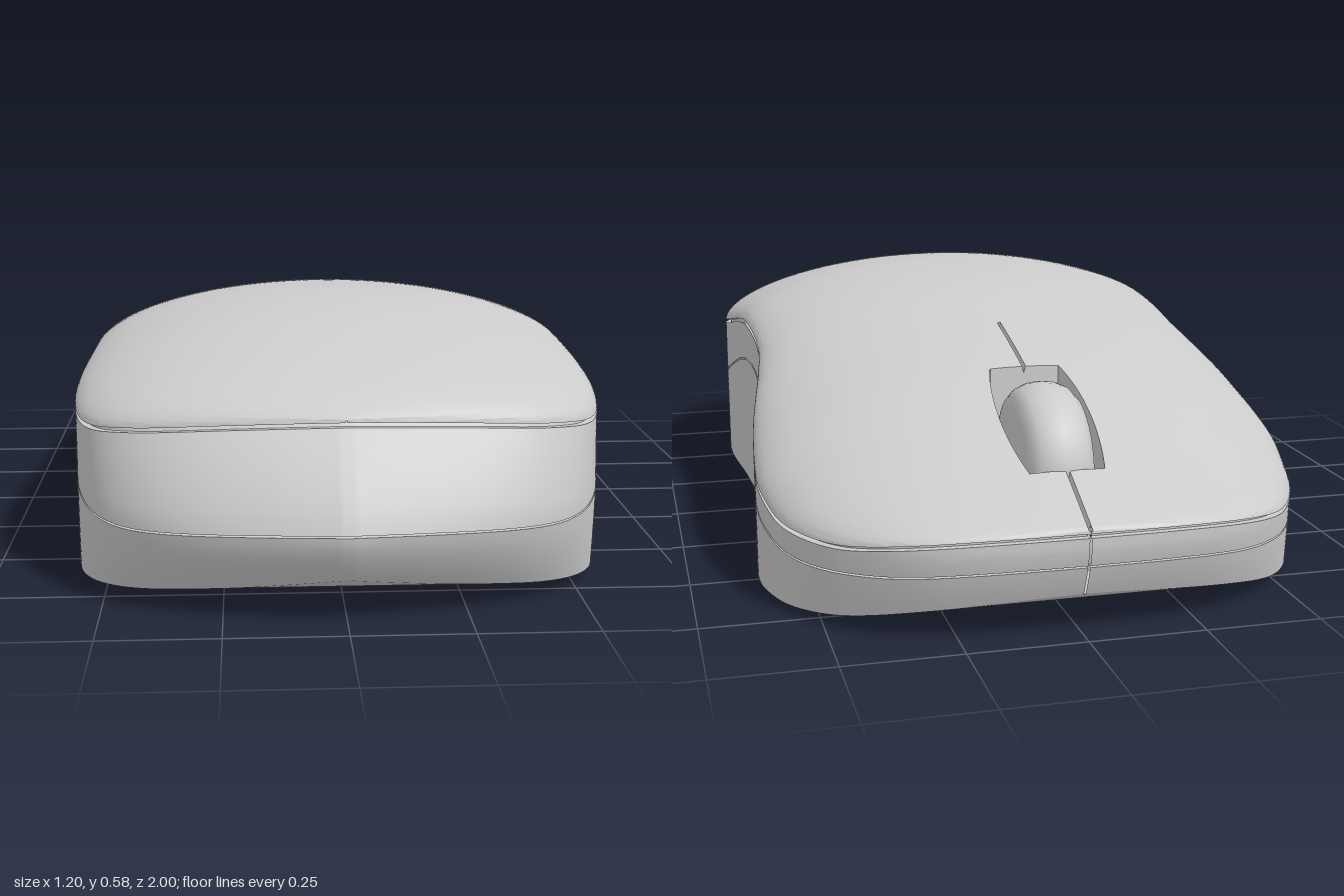
import * as THREE from 'three';
import { toCreasedNormals } from 'three/addons/utils/BufferGeometryUtils.js';

const material = new THREE.MeshStandardMaterial({ color: 0xcccccc, side: THREE.DoubleSide });
const { lerp, clamp } = THREE.MathUtils;

// Smooth height curve y(z) through a few [z, y] points
function heightCurve(points) {
  const pts = new THREE.SplineCurve(points.map(([z, y]) => new THREE.Vector2(z, y))).getPoints(240);
  return (z) => {
    const i = Math.max(1, pts.findIndex((p) => p.x >= z));
    if (z >= pts[pts.length - 1].x) return pts[pts.length - 1].y;
    const a = pts[i - 1], b = pts[i];
    return lerp(a.y, b.y, clamp((z - a.x) / (b.x - a.x), 0, 1));
  };
}

const crown = heightCurve([[-1, 0.235], [-0.8, 0.33], [-0.52, 0.45], [-0.2, 0.53], [0, 0.565], [0.22, 0.58],
  [0.4, 0.572], [0.55, 0.55], [0.7, 0.51], [0.8, 0.465], [0.88, 0.405]]);
const upperSeam = heightCurve([[-1, 0.225], [-0.85, 0.19], [-0.7, 0.19], [-0.6, 0.21], [-0.4, 0.28], [-0.2, 0.36],
  [0, 0.42], [0.18, 0.44], [0.3, 0.43], [0.5, 0.39], [0.68, 0.365], [0.8, 0.375], [0.88, 0.4]]);
const lowerSeam = heightCurve([[-1, 0.16], [-0.9, 0.14], [-0.75, 0.13], [-0.6, 0.15], [-0.4, 0.21], [-0.2, 0.27],
  [0, 0.33], [0.15, 0.347], [0.3, 0.325], [0.5, 0.255], [0.7, 0.205], [0.85, 0.185], [1, 0.205]]);
const underside = heightCurve([[-1, 0.12], [-0.97, 0.095], [-0.93, 0.07], [-0.8, 0.03], [-0.6, 0.012], [-0.3, 0.004],
  [0, 0.008], [0.5, 0.018], [0.75, 0.032], [0.87, 0.06], [0.95, 0.1], [1, 0.14]]);

// Half of the plan outline, from the nose to the palm end
const WHEEL_Z = -0.675, SLOT = 0.165, SPLIT_END = -0.29;
const outline = new THREE.SplineCurve([[0, -1], [0.2, -0.99], [0.34, -0.955], [0.46, -0.865], [0.55, -0.73],
  [0.59, -0.6], [0.6, -0.5], [0.585, -0.33], [0.55, -0.13], [0.538, 0], [0.55, 0.25], [0.57, 0.45], [0.568, 0.58],
  [0.545, 0.7], [0.495, 0.8], [0.41, 0.88], [0.3, 0.935], [0.15, 0.975], [0, 1]]
  .map(([x, z]) => new THREE.Vector2(x, z))).getPoints(180).map((p) => ({ x: Math.max(p.x, 0.002), z: p.y }));

// Extra slices where the wheel slot and the button split begin and end
for (const z of [WHEEL_Z - SLOT - 0.003, WHEEL_Z - SLOT, WHEEL_Z + SLOT, WHEEL_Z + SLOT + 0.003, SPLIT_END, SPLIT_END + 0.003]) {
  const i = outline.findIndex((p) => p.z > z);
  const a = outline[i - 1], b = outline[i];
  outline.splice(i, 0, { x: lerp(a.x, b.x, (z - a.z) / (b.z - a.z)), z });
}

// The ends lean inwards above and below their widest height
function lean(z, y) {
  const up = Math.max(0, y - 0.2) / 0.2, down = Math.max(0, 0.2 - y) / 0.1;
  if (z > 0.5) return z - ((z - 0.5) / 0.5) ** 1.5 * (0.125 * up ** 1.3 + 0.05 * down ** 1.5);
  if (z < -0.6) return z + ((-0.6 - z) / 0.4) ** 1.5 * 0.03 * down ** 1.5;
  return z;
}

// Where a height curve meets the wall above one outline point
function meet(p, curve) {
  let z = p.z, y = 0;
  for (let k = 0; k < 6; k++) {
    y = curve(z);
    z = lean(p.z, y);
  }
  return { x: p.x, y, z };
}

// Surface through rows of points
function loft(name, rows) {
  const cols = rows[0].length, index = [];
  for (let i = 0; i < rows.length - 1; i++) {
    for (let j = 0; j < cols - 1; j++) {
      const a = i * cols + j, b = a + cols;
      index.push(a, b, a + 1, b, b + 1, a + 1);
    }
  }
  const geometry = new THREE.BufferGeometry();
  geometry.setAttribute('position', new THREE.Float32BufferAttribute(rows.flat(2), 3));
  geometry.setIndex(index);
  const mesh = new THREE.Mesh(toCreasedNormals(geometry, 0.6), material);
  mesh.name = name;
  return mesh;
}

// Wall between two height curves, with its edges turned in at the seams
function wall(name, low, high, lowGap, highGap, inset, lipLow, lipHigh) {
  const column = (p, side) => {
    const y0 = meet(p, low).y + lowGap, y1 = meet(p, high).y + highGap;
    const at = (y, depth) => [side * p.x * (1 - 1.6 * depth), y, lean(p.z, y) * (1 - depth)];
    const points = [];
    if (lipLow) points.push(at(y0, 0.02));
    for (let k = 0; k <= 8; k++) points.push(at(lerp(y0, y1, k / 8), inset));
    if (lipHigh) points.push(at(y1, 0.02));
    return points;
  };
  return loft(name, [...outline.map((p) => column(p, -1)), ...[...outline].reverse().map((p) => column(p, 1))]);
}

// Domed top shell with the button split and the wheel slot sunk into it
function topShell() {
  return loft('topShell', outline.map((p) => {
    const edge = meet(p, upperSeam), z = edge.z, hw = p.x;
    const rise = Math.max(0, crown(z) - edge.y - 0.004);
    const d = (z - WHEEL_Z) / SLOT, inSlot = Math.abs(d) <= 1.0001;
    const w = Math.min(0.08 + (inSlot ? 0.02 * (1 - d * d) : 0), hw * 0.4);
    const groove = Math.min(0.004, w * 0.3);
    const height = (x) => edge.y + 0.004 + rise * Math.max(0, 1 - (x / hw) ** 2) ** 0.58;
    const half = [];
    half.push([0, height(0) - (inSlot ? 0.11 : z <= SPLIT_END + 0.0001 ? 0.015 : 0)]);
    for (const x of [groove, w * 0.5, w * 0.96]) half.push([x, height(x) - (inSlot ? 0.11 : 0)]);
    for (let k = 0; k <= 28; k++) {
      const x = lerp(w, hw, Math.sin((k / 28) * Math.PI / 2));
      half.push([x, height(x)]);
    }
    const lip = [hw * 0.968, edge.y + 0.004, z * 0.98];
    return [
      [-lip[0], lip[1], lip[2]],
      ...half.slice(1).reverse().map(([x, y]) => [-x, y, z]),
      ...half.map(([x, y]) => [x, y, z]),
      lip,
    ];
  }));
}

// Scroll wheel with a rounded tread, turning on the x axis
function scrollWheel() {
  const profile = [[0, -0.07], [0.12, -0.07], [0.145, -0.066], [0.162, -0.05], [0.172, -0.026], [0.175, 0],
    [0.172, 0.026], [0.162, 0.05], [0.145, 0.066], [0.12, 0.07], [0, 0.07]];
  const geometry = new THREE.LatheGeometry(profile.map(([r, y]) => new THREE.Vector2(r, y)), 48);
  const wheel = new THREE.Mesh(toCreasedNormals(geometry, 0.6), material);
  wheel.rotation.z = Math.PI / 2;
  wheel.position.set(0, 0.28, -0.672);
  wheel.name = 'scrollWheel';
  return wheel;
}

export function createModel() {
  const mouse = new THREE.Group();
  mouse.name = 'computerMouse';
  mouse.add(
    topShell(),
    wall('middleBand', lowerSeam, upperSeam, 0.002, -0.005, 0, true, true),
    wall('lowerWall', underside, lowerSeam, 0, -0.002, 0, false, true),
    wall('seamCore', lowerSeam, upperSeam, -0.015, 0.015, 0.015, false, false),
    // Flat-across underside following the curved sole line
    loft('underside', outline.map((p) => {
      const { x, y, z } = meet(p, underside);
      return [[x, y, z], [0, y, z], [-x, y, z]];
    })),
    scrollWheel(),
  );
  return mouse;
}
